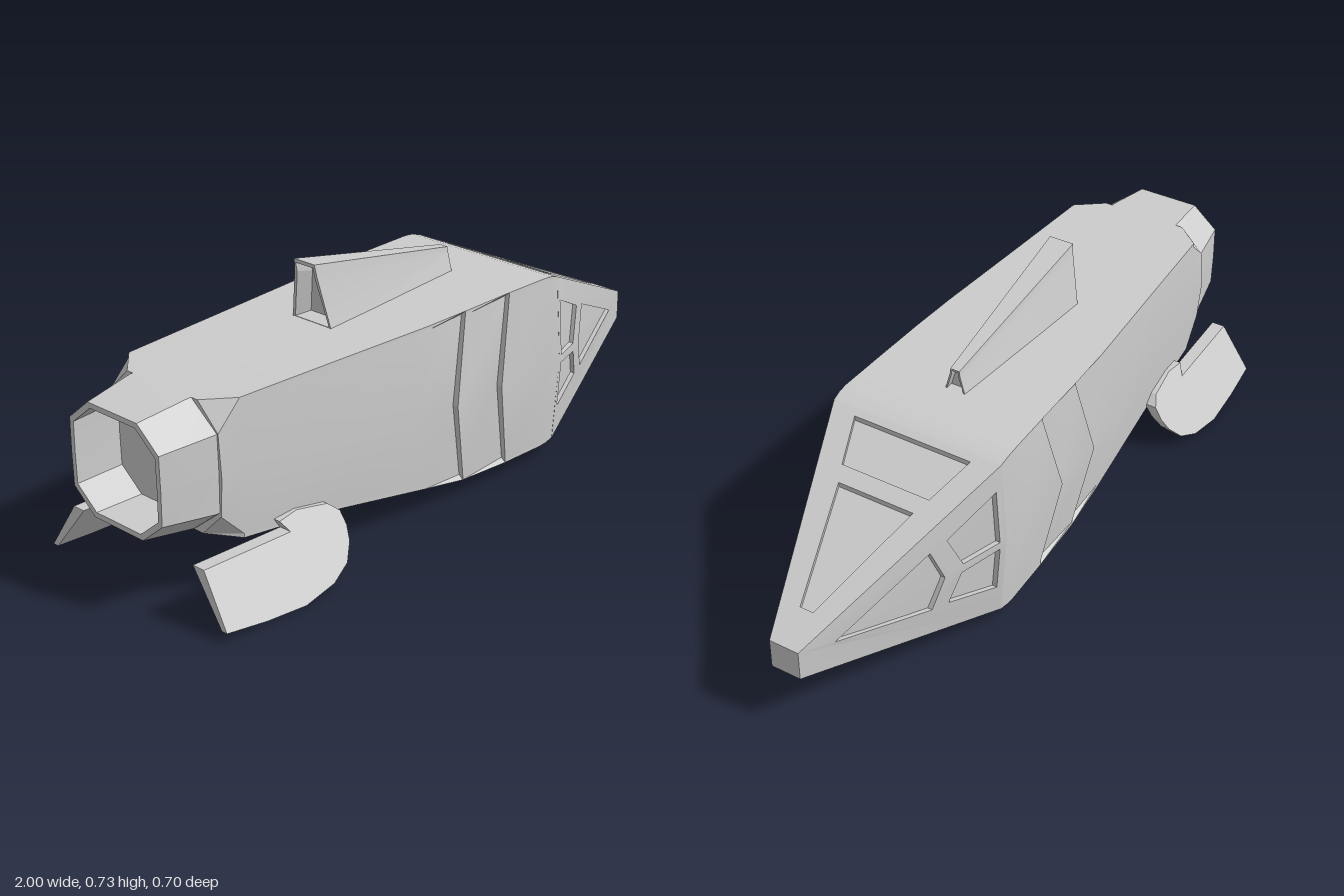
import * as THREE from 'three';
import { toCreasedNormals } from 'three/addons/utils/BufferGeometryUtils.js';

const material = new THREE.MeshStandardMaterial({ color: 0xcccccc, side: THREE.DoubleSide });
const DEPTH = 0.014; // window recess

function addMesh(group, name, geometry, crease = 0.4) {
  geometry.computeVertexNormals();
  const mesh = new THREE.Mesh(toCreasedNormals(geometry, crease), material);
  mesh.name = name;
  group.add(mesh);
}

// Skin a list of rings; each runs +y, +z, -y, -z. First and last are capped.
function loft(rings) {
  const n = rings[0].length, index = [];
  for (let r = 0; r < rings.length - 1; r++) {
    for (let i = 0; i < n; i++) {
      const a = r * n + i, b = r * n + (i + 1) % n;
      index.push(a, b, a + n, b, b + n, a + n);
    }
  }
  const last = (rings.length - 1) * n;
  for (let i = 1; i < n - 1; i++) index.push(0, i + 1, i, last, last + i, last + i + 1);
  const g = new THREE.BufferGeometry();
  g.setAttribute('position', new THREE.Float32BufferAttribute(rings.flat(2), 3));
  g.setIndex(index);
  return g.toNonIndexed();
}

// Complete a half ring (z > 0) with its mirror image
const mirrorRing = half => [...half, ...half.map(([x, y, z]) => [x, y, -z]).reverse()];

// Move every vertex by a rule
function warp(g, rule) {
  const p = g.attributes.position;
  for (let i = 0; i < p.count; i++) p.setXYZ(i, ...rule(p.getX(i), p.getY(i), p.getZ(i)));
  return g;
}

// Reflect a non-indexed geometry across z = 0, keeping faces outward
function mirrorZ(source) {
  const g = source.clone(), p = g.attributes.position, s = source.attributes.position;
  for (let t = 0; t < p.count; t += 3) {
    [0, 2, 1].forEach((k, i) => p.setXYZ(t + i, s.getX(t + k), s.getY(t + k), -s.getZ(t + k)));
  }
  return g;
}

function plate(outline, holes, depth) {
  const toPoints = list => list.map(([x, y]) => new THREE.Vector2(x, y));
  const shape = new THREE.Shape(toPoints(outline));
  holes.forEach(h => shape.holes.push(new THREE.Path(toPoints(h))));
  return new THREE.ExtrudeGeometry(shape, { depth, bevelEnabled: false });
}

// Nose surfaces for x from 0.4 to 1
const top = x => 0.552 - (x - 0.4) * 0.455;
const bottom = x => 0.052 + (x - 0.4) * 0.23;
const width = x => 0.26 - (x - 0.4) * 0.36;
const bulge = x => 0.018 * (1 - x) / 0.6;
const middle = x => 0.3 - (x - 0.4) * 0.1;
function sideZ(x, y) {
  const m = middle(x), half = y > m ? top(x) - m : m - bottom(x);
  return width(x) + bulge(x) * (1 - Math.abs(y - m) / half);
}

// Hull ring: the middle of each side may lie behind its corners (chevron)
function hullRing(xc, xm, yTop, yBot, zc, yMid, zm, inset = 0, chamferY = 0.012, chamferZ = 0) {
  return mirrorRing([
    [xc, yTop, zc - chamferZ], [xc, yTop - chamferY, zc - inset], [xm, yMid, zm - inset],
    [xc, yBot + chamferY, zc - inset], [xc, yBot, zc - chamferZ],
  ]);
}

function buildHull(group) {
  const d = DEPTH;
  addMesh(group, 'hull', loft([
    hullRing(-0.84, -0.84, 0.55, 0.185, 0.2, 0.36, 0.208, 0, 0.07, 0.07),
    hullRing(-0.77, -0.77, 0.556, 0.172, 0.205, 0.36, 0.215),
    hullRing(-0.47, -0.5, 0.558, 0.14, 0.225, 0.33, 0.242),
    hullRing(-0.14, -0.2, 0.56, 0.084, 0.248, 0.31, 0.27),
    hullRing(0.01, -0.05, 0.562, 0.058, 0.254, 0.31, 0.28, 0.014),
    hullRing(0.01, -0.05, 0.562, 0.058, 0.254, 0.31, 0.284),
    hullRing(0.19, 0.13, 0.564, 0.047, 0.258, 0.31, 0.284, 0.014),
    hullRing(0.19, 0.13, 0.564, 0.047, 0.258, 0.31, 0.288),
    hullRing(0.34, 0.34, 0.564, 0.045, 0.262, 0.3, 0.286),
    hullRing(0.37, 0.37, 0.561, 0.047, 0.262, 0.3, 0.283),
    hullRing(0.4, 0.4, top(0.4), bottom(0.4), 0.26, 0.3, 0.278),
    ...[0.4, 1].map(x => hullRing(x, x, top(x) - d, bottom(x), width(x) - d,
      middle(x), width(x) + bulge(x) - d)),
  ]));
}

function buildNose(group) {
  // Side plates with three window recesses
  const side = plate(
    [[0.4, bottom(0.4)], [1, bottom(1)], [1, top(1)], [0.4, top(0.4)], [0.4, 0.3]],
    [
      [[0.42, 0.475], [0.57, 0.4], [0.53, 0.3], [0.42, 0.31]],
      [[0.42, 0.287], [0.535, 0.272], [0.57, 0.185], [0.42, 0.147]],
      [[0.62, 0.385], [0.9, 0.255], [0.62, 0.19], [0.585, 0.285]],
    ], DEPTH);
  warp(side, (x, y, t) => [x, y, sideZ(x, y) - DEPTH + t]);
  addMesh(group, 'leftNosePlate', side, 0.2);
  addMesh(group, 'rightNosePlate', mirrorZ(side), 0.2);

  // Top plate with two windows
  const roof = plate(
    [[0.4, -width(0.4)], [1, -width(1)], [1, width(1)], [0.4, width(0.4)]],
    [
      [[0.42, -0.18], [0.545, -0.135], [0.545, 0.135], [0.42, 0.18]],
      [[0.59, -0.115], [0.9, -0.02], [0.9, 0.02], [0.59, 0.115]],
    ], DEPTH);
  warp(roof, (x, s, t) => [x, top(x) - DEPTH + t, -s]);
  addMesh(group, 'topNosePlate', roof, 0.2);
}

function buildNozzle(group) {
  const octagon = (x, h, w) => mirrorRing([
    [x, 0.372 + h, w * 0.55], [x, 0.372 + h * 0.6, w], [x, 0.372, w * 1.01],
    [x, 0.372 - h * 0.6, w], [x, 0.372 - h, w * 0.55],
  ]);
  addMesh(group, 'engineNozzle', loft([
    octagon(-0.85, 0.15, 0.16), octagon(-1, 0.143, 0.152),
    octagon(-1, 0.158, 0.166), octagon(-0.85, 0.178, 0.196), octagon(-0.83, 0.178, 0.196),
  ]), 0.2);
}

function buildDorsalFin(group) {
  // Slanted trapezoid sections with recessed ends
  const section = (x, lean, yTop, zTop, zBot, inset = 0) => mirrorRing([
    [x - lean, yTop - inset, zTop - inset * 0.5],
    [x - lean * 0.8, 0.555 + (yTop - 0.555) * 0.8, zTop * 1.12 - inset],
    [x, 0.55 + inset, zBot - inset],
  ]);
  addMesh(group, 'dorsalFin', loft([
    section(-0.26, 0.025, 0.72, 0.036, 0.068, 0.01),
    section(-0.315, 0.025, 0.735, 0.037, 0.072, 0.01),
    section(-0.315, 0.025, 0.735, 0.037, 0.072),
    section(0.212, 0, 0.632, 0.014, 0.034),
    section(0.212, 0, 0.632, 0.014, 0.034, 0.006),
    section(0.19, 0, 0.632, 0.014, 0.034, 0.006),
  ]), 0.15);
}

function buildLowerFins(group) {
  const fin = plate([
    [-0.945, 0.168], [-0.955, 0.03], [-0.83, 0.014], [-0.7, 0.004], [-0.59, 0.018],
    [-0.525, 0.045], [-0.49, 0.085], [-0.478, 0.12], [-0.48, 0.155], [-0.51, 0.18],
    [-0.61, 0.197], [-0.675, 0.19], [-0.655, 0.16],
  ], [], 1);
  // Splay outward and thin toward the tip
  warp(fin, (x, y, t) => [x, y, 0.345 - 0.7 * y + (t - 0.5) * (0.014 + 0.15 * y)]);
  addMesh(group, 'leftLowerFin', fin, 0.5);
  addMesh(group, 'rightLowerFin', mirrorZ(fin), 0.5);
}

export function createModel() {
  const group = new THREE.Group();
  group.name = 'spacecraft';
  [buildHull, buildNose, buildNozzle, buildDorsalFin, buildLowerFins].forEach(build => build(group));
  return group;
}
